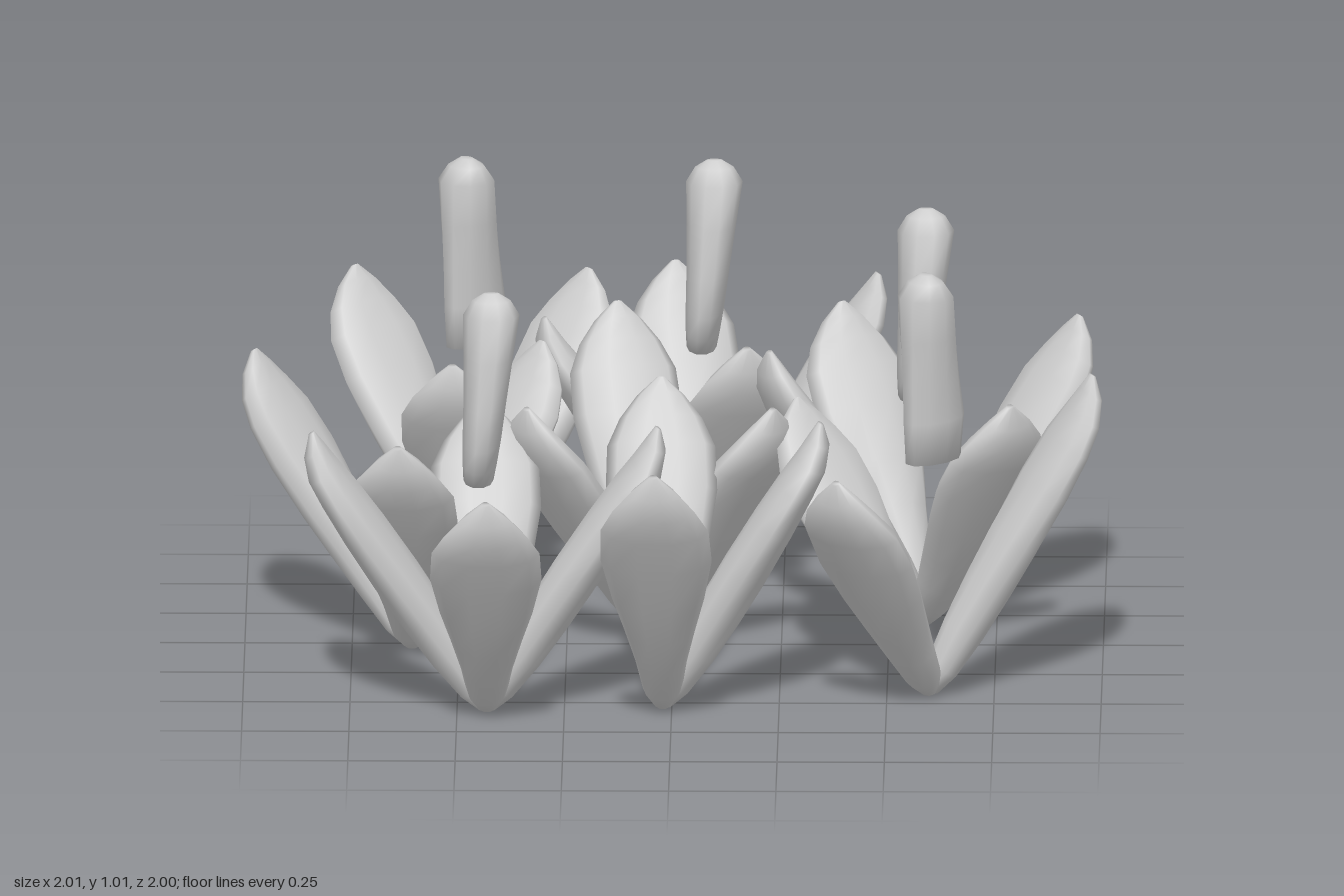
import * as THREE from 'three';

const SIDES = 10;

// Closed loft of elliptical rings: [height, half width, half thickness, x offset, z offset]
function loft(rings) {
  const pos = [], index = [];
  for (const [y, w, t, dx = 0, dz = 0] of rings) {
    for (let j = 0; j < SIDES; j++) {
      const a = (j / SIDES) * Math.PI * 2;
      pos.push(w * Math.cos(a) + dx, y, t * Math.sin(a) + dz);
    }
  }
  const last = rings.length - 1;
  for (let i = 0; i < last; i++) {
    for (let j = 0; j < SIDES; j++) {
      const k = (j + 1) % SIDES;
      const a = i * SIDES + j, b = i * SIDES + k;
      index.push(a, a + SIDES, b, b, a + SIDES, b + SIDES);
    }
  }
  // end caps
  for (let j = 1; j < SIDES - 1; j++) {
    index.push(0, j, j + 1);
    index.push(last * SIDES, last * SIDES + j + 1, last * SIDES + j);
  }
  const g = new THREE.BufferGeometry();
  g.setAttribute('position', new THREE.Float32BufferAttribute(pos, 3));
  g.setIndex(index);
  g.computeVertexNormals();
  return g;
}

// Leaf of unit length along +y, broad in x, outer face towards +z
const leafGeometry = loft([
  [0, 0.022, 0.02], [0.07, 0.046, 0.038], [0.2, 0.06, 0.05], [0.35, 0.083, 0.055],
  [0.5, 0.108, 0.056], [0.68, 0.13, 0.052], [0.82, 0.126, 0.046], [0.91, 0.096, 0.04],
  [0.98, 0.055, 0.028, 0, -0.01], [1.03, 0.01, 0.008, 0, -0.028],
]);

// Upright bud: wide, flat foot set to one side, round near the top
const wideBud = loft([
  [0.57, 0.035, 0.075, -0.03], [0.61, 0.04, 0.107, -0.027], [0.67, 0.045, 0.136, -0.022],
  [0.76, 0.05, 0.118, -0.015], [0.87, 0.058, 0.09, -0.007], [0.97, 0.066, 0.066],
  [1.005, 0.045, 0.035], [1.022, 0.018, 0.01],
]);

// Slimmer bud whose foot flares on its +z side only
const slimBud = loft([
  [0.57, 0.045, 0.08, 0, 0.025], [0.67, 0.05, 0.088, 0, 0.027], [0.76, 0.053, 0.08, 0, 0.018],
  [0.87, 0.06, 0.073, 0, 0.008], [0.97, 0.066, 0.066], [1.005, 0.045, 0.04], [1.022, 0.018, 0.014],
]);

// Each plant: base [x, z], leaf tips [x, z, height], optional bud and its place [x, z, turn]
const plants = [
  { base: [-0.48, -0.54], tips: [[-0.76, -0.88, 0.64], [-0.2, -0.86, 0.64], [-0.52, -0.15, 0.6]], bud: slimBud, at: [-0.49, -0.57, 2.36] },
  { base: [0.08, -0.58], tips: [[-0.01, -1.0, 0.62], [0.48, -0.68, 0.68], [-0.32, -0.5, 0.62], [0.17, -0.16, 0.64]], bud: wideBud, at: [0.088, -0.56, 0] },
  { base: [0.58, -0.18], tips: [[0.38, -0.58, 0.64], [0.95, -0.4, 0.66], [0.79, 0.18, 0.6], [0.21, 0.0, 0.68]], bud: wideBud, at: [0.585, -0.15, 0] },
  { base: [-0.05, -0.08], tips: [[-0.14, -0.48, 0.67], [-0.35, 0.21, 0.6], [0.24, 0.21, 0.6]] },
  { base: [-0.61, 0.03], tips: [[-0.99, -0.16, 0.64], [-0.3, -0.24, 0.64], [-0.64, 0.48, 0.58]] },
  { base: [-0.43, 0.57], tips: [[-0.44, 0.13, 0.6], [-0.85, 0.55, 0.64], [-0.02, 0.57, 0.66], [-0.43, 0.99, 0.59]], bud: wideBud, at: [-0.42, 0.58, 0] },
  { base: [-0.02, 0.54], tips: [[-0.03, 0.13, 0.66], [0.36, 0.56, 0.67], [-0.04, 0.97, 0.65]] },
  { base: [0.6, 0.42], tips: [[0.28, 0.1, 0.6], [0.99, 0.32, 0.72], [0.38, 0.8, 0.59]], bud: slimBud, at: [0.59, 0.41, 2.36] },
];

export function createModel() {
  const model = new THREE.Group();
  model.name = 'flowerPatch';
  const material = new THREE.MeshStandardMaterial({ color: 0xcccccc, side: THREE.DoubleSide });

  for (const { base, tips, bud, at } of plants) {
    const plant = new THREE.Group();
    plant.name = 'plant';

    // splayed leaves
    for (const [tx, tz, ty] of tips) {
      const out = new THREE.Vector3(tx - base[0], 0, tz - base[1]);
      const reach = out.length();
      out.normalize();
      const rise = ty - 0.02;
      const length = Math.hypot(reach, rise);
      const up = new THREE.Vector3(0, rise / length, 0).addScaledVector(out, reach / length);
      const outer = new THREE.Vector3(0, -reach / length, 0).addScaledVector(out, rise / length);
      const across = new THREE.Vector3().crossVectors(up, outer);

      const leaf = new THREE.Mesh(leafGeometry, material);
      leaf.name = 'leaf';
      leaf.quaternion.setFromRotationMatrix(new THREE.Matrix4().makeBasis(across, up, outer));
      leaf.scale.y = length;
      leaf.position.set(base[0], 0.02, base[1]);
      plant.add(leaf);
    }

    // closed bud hovering above the leaves
    if (bud) {
      const flower = new THREE.Mesh(bud, material);
      flower.name = 'bud';
      flower.position.set(at[0], 0, at[1]);
      flower.rotation.y = at[2];
      plant.add(flower);
    }
    model.add(plant);
  }
  return model;
}
